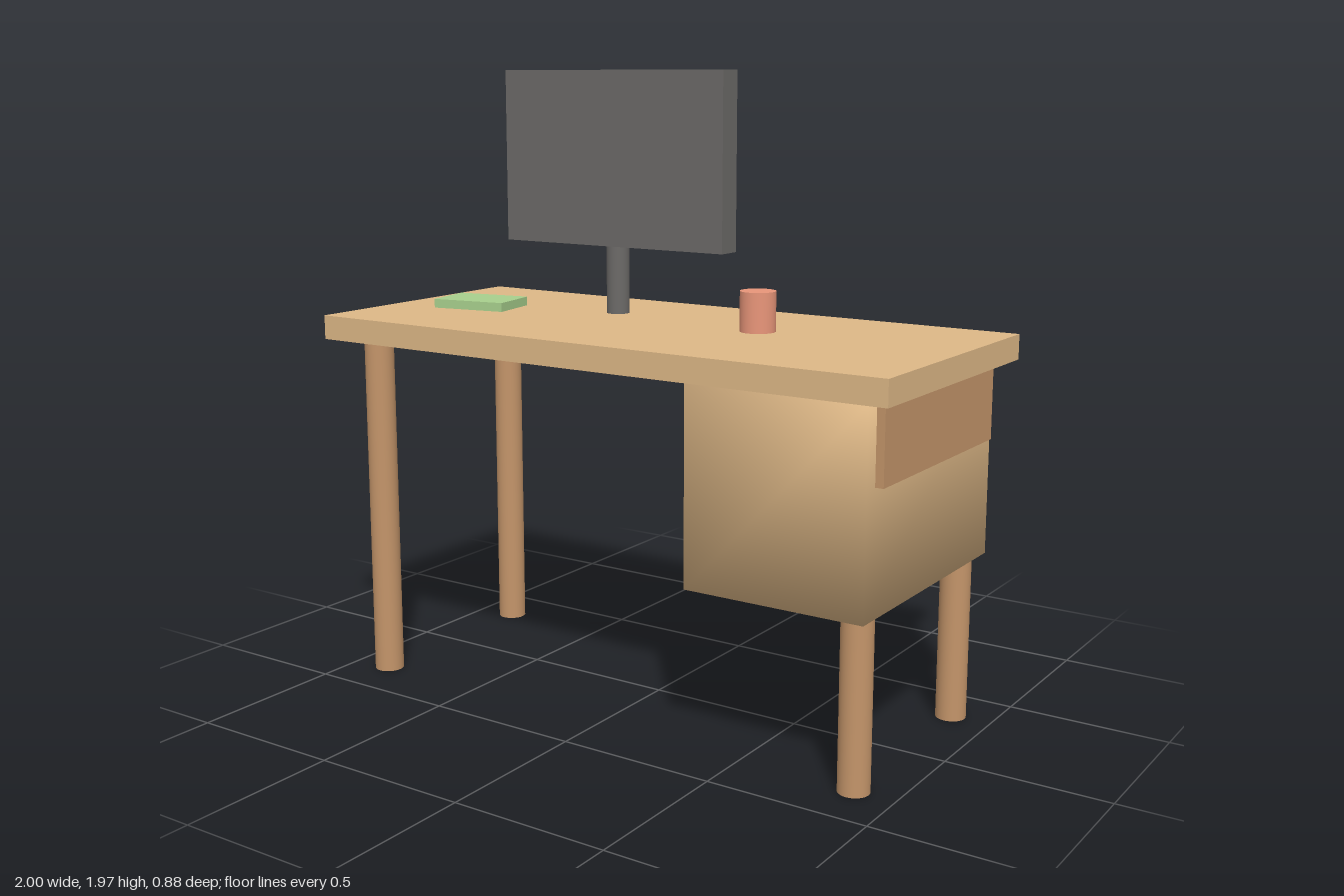
import * as THREE from 'three';
import { mergeVertices } from 'three/addons/utils/BufferGeometryUtils.js';

const material = (color) => new THREE.MeshStandardMaterial({ color });
const TAN = material(0xdeb887), WOOD = material(0xc4956a), DARK = material(0x6c6a68);
const GLASS = material(0x9ab0b5), SALMON = material(0xe9967a), GREEN = material(0xa8d08d);

// Share corners so that normals blend softly across the edges
function soften(geometry) {
  geometry.deleteAttribute('normal');
  geometry.deleteAttribute('uv');
  const merged = mergeVertices(geometry, 1e-4);
  merged.computeVertexNormals();
  return merged;
}

export function createModel() {
  const model = new THREE.Group();
  model.name = 'desk';

  function add(name, geometry, mat, x, y, z) {
    const mesh = new THREE.Mesh(geometry, mat);
    mesh.name = name;
    mesh.position.set(x, y, z);
    model.add(mesh);
    return mesh;
  }
  // Box given by its extents on each axis
  function box(name, mat, [x0, x1], [y0, y1], [z0, z1], soft = false) {
    const geometry = new THREE.BoxGeometry(x1 - x0, y1 - y0, z1 - z0);
    return add(name, soft ? soften(geometry) : geometry, mat, (x0 + x1) / 2, (y0 + y1) / 2, (z0 + z1) / 2);
  }
  // Upright cylinder from y0 to y1
  function post(name, mat, r, x, z, y0, y1) {
    return add(name, new THREE.CylinderGeometry(r, r, y1 - y0, 32), mat, x, (y0 + y1) / 2, z);
  }

  // Desktop in two layers
  box('desktopLower', TAN, [-1, 1], [1.12, 1.158], [-0.44, 0.44]);
  box('desktopUpper', TAN, [-1, 1], [1.158, 1.197], [-0.44, 0.44]);

  // Four round legs
  for (const x of [-0.872, 0.872])
    for (const z of [-0.327, 0.327]) post('leg', WOOD, 0.047, x, z, 0, 1.12);

  // Cabinet with a drawer front on its outer side
  box('cabinet', TAN, [0.36, 0.93], [0.515, 1.12], [-0.41, 0.41], true);
  box('drawerFront', WOOD, [0.93, 0.955], [0.885, 1.11], [-0.36, 0.36]);

  // Monitor with its screen facing back, and its short stand
  box('monitorCase', DARK, [-0.385, 0.385], [1.46, 1.97], [0.18, 0.255]);
  box('monitorScreen', GLASS, [-0.345, 0.345], [1.5, 1.93], [0.158, 0.18]);
  post('monitorStand', DARK, 0.034, 0, 0.217, 1.26, 1.46);

  // Cup and notebook on the desktop
  post('cup', SALMON, 0.055, 0.325, -0.05, 1.197, 1.32);
  const book = box('notebook', GREEN, [-0.842, -0.588], [1.197, 1.226], [-0.087, 0.087]);
  book.rotation.y = THREE.MathUtils.degToRad(10);

  return model;
}
